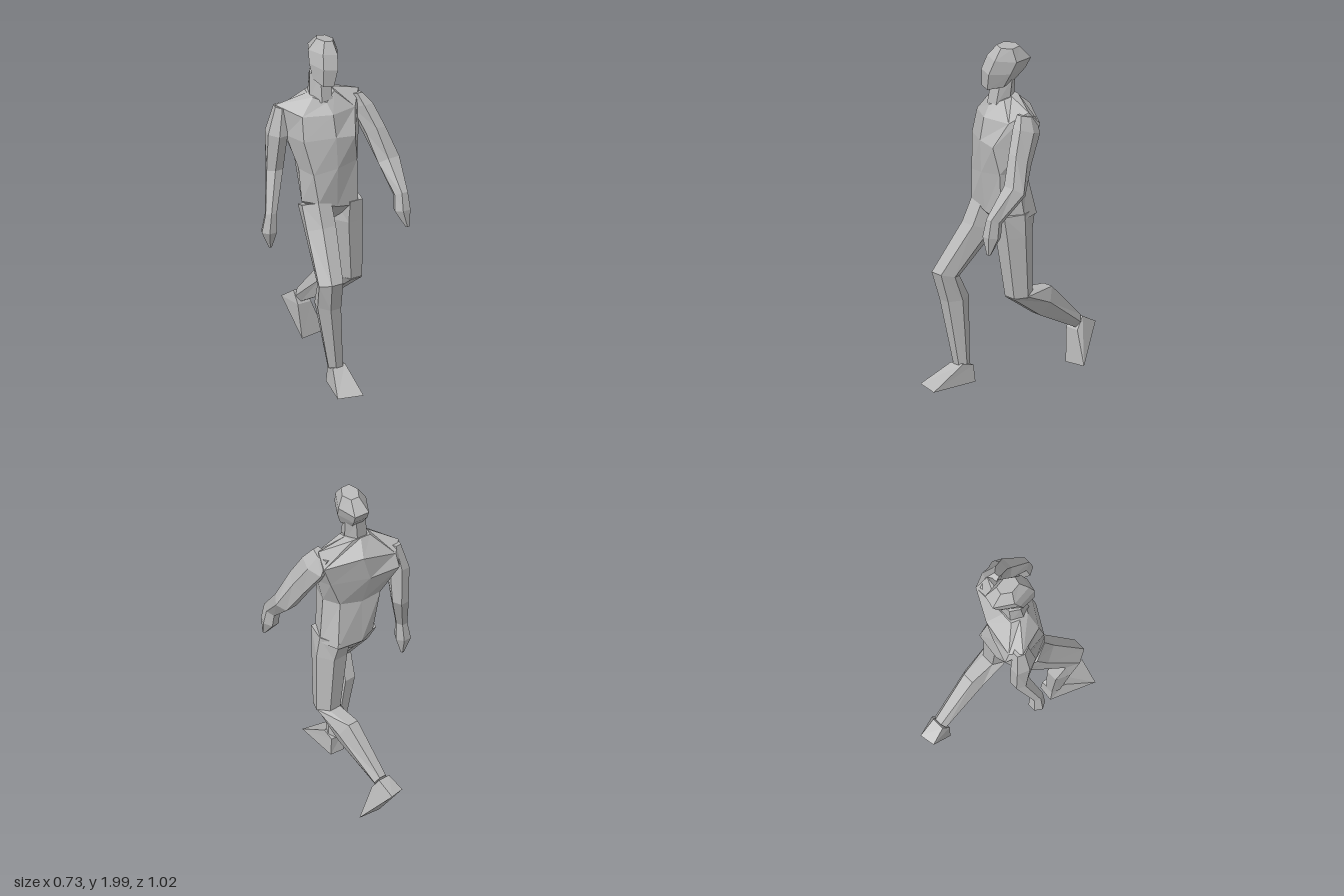
import * as THREE from 'three';

const skin = new THREE.MeshStandardMaterial({ color: 0xb8b8b8 });
skin.name = 'plain grey';

// Six-sided ring: centre, half width, half depth, tilt about x in degrees.
function ring([x, y, z, w, d, tilt = 0], flatFront = false) {
  const t = THREE.MathUtils.degToRad(tilt);
  const depth = flatFront ? d / Math.cos(Math.PI / 6) : d / 0.9;
  return Array.from({ length: 6 }, (_, i) => {
    const a = (i + 0.5) * Math.PI / 3;
    const s = Math.cos(a) * depth;
    return [x + Math.sin(a) * w, y + Math.sin(t) * s, z + Math.cos(t) * s];
  });
}

// Faceted skin over a stack of equal-length rings, capped at both ends.
function loft(name, rings) {
  const tris = [];
  const n = rings[0].length;
  const mid = r => [0, 1, 2].map(k => r.reduce((s, p) => s + p[k], 0) / n);
  for (let j = 0; j + 1 < rings.length; j++) {
    for (let i = 0; i < n; i++) {
      const k = (i + 1) % n, a = rings[j], b = rings[j + 1];
      tris.push([a[i], a[k], b[k]], [a[i], b[k], b[i]]);
    }
  }
  const first = rings[0], last = rings[rings.length - 1];
  for (let i = 0; i < n; i++) {
    const k = (i + 1) % n;
    tris.push([mid(first), first[k], first[i]], [mid(last), last[i], last[k]]);
  }
  // Turn the faces outward whichever way the stack runs.
  let volume = 0;
  const [a, b, c] = [0, 1, 2].map(() => new THREE.Vector3());
  for (const t of tris) {
    a.fromArray(t[0]); b.fromArray(t[1]); c.fromArray(t[2]);
    volume += a.dot(b.cross(c));
  }
  if (volume < 0) tris.forEach(t => t.reverse());
  const geo = new THREE.BufferGeometry();
  geo.setAttribute('position', new THREE.Float32BufferAttribute(tris.flat(2), 3));
  geo.computeVertexNormals();
  const mesh = new THREE.Mesh(geo, skin);
  mesh.name = name;
  return mesh;
}

const limb = (name, rows) => loft(name, rows.map(r => ring(r)));

export function createModel() {
  const figure = new THREE.Group();
  figure.name = 'walkingFigure';

  // Torso rings run from front centre through the left side, back and right side.
  figure.add(loft('torso', [
    [[0, 0.91, 0.08], [0.03, 0.92, 0.08], [0.04, 0.92, 0.04], [0.03, 0.91, 0],
      [0, 0.91, -0.01], [-0.03, 0.92, 0], [-0.04, 0.93, 0.04], [-0.03, 0.93, 0.08]],
    [[-0.02, 1.02, 0.17], [0.12, 1.0, 0.175], [0.19, 1.0, 0.06], [0.16, 1.0, -0.06],
      [0, 0.99, -0.08], [-0.11, 1.0, -0.05], [-0.18, 1.05, 0.05], [-0.14, 1.06, 0.16]],
    [[-0.03, 1.26, 0.19], [0.11, 1.28, 0.18], [0.15, 1.27, 0.08], [0.11, 1.27, -0.02],
      [-0.02, 1.25, -0.06], [-0.14, 1.27, -0.08], [-0.18, 1.24, 0.02], [-0.16, 1.23, 0.14]],
    [[-0.04, 1.45, 0.19], [0.08, 1.44, 0.205], [0.19, 1.42, 0.08], [0.18, 1.44, -0.02],
      [-0.02, 1.45, -0.13], [-0.185, 1.48, -0.19], [-0.22, 1.43, -0.05], [-0.2, 1.43, 0.1]],
    [[-0.04, 1.58, 0.16], [0.13, 1.58, 0.13], [0.21, 1.65, 0.05], [0.23, 1.57, -0.02],
      [0.03, 1.61, -0.13], [-0.185, 1.56, -0.16], [-0.25, 1.6, -0.11], [-0.19, 1.57, 0.07]],
    [[-0.05, 1.64, 0.11], [0.03, 1.68, 0.07], [0.04, 1.69, 0.02], [0.03, 1.69, -0.04],
      [-0.02, 1.69, -0.05], [-0.09, 1.68, -0.05], [-0.11, 1.68, 0], [-0.11, 1.67, 0.06]],
  ]));

  // Neck and head
  figure.add(limb('neck', [
    [-0.04, 1.65, 0.03, 0.072, 0.075, -8],
    [-0.03, 1.8, 0.015, 0.07, 0.058, 0],
  ]));
  const head = loft('head', [
    [0, 1.765, 0.06, 0.064, 0.088, -10],
    [0, 1.85, 0.032, 0.086, 0.118, 0],
    [0, 1.92, 0, 0.088, 0.118, 5],
    [0, 1.99, 0.01, 0.05, 0.06, 4],
  ].map(r => ring(r, true)));
  head.rotation.set(0, -0.25, -0.12);
  head.position.set(-0.224, 0.012, -0.055);
  figure.add(head);

  // Left arm swings forward, right arm hangs back
  figure.add(limb('leftArm', [
    [0.185, 1.625, 0.045, 0.035, 0.06, 15],
    [0.213, 1.55, 0.07, 0.06, 0.085, 20],
    [0.25, 1.41, 0.155, 0.06, 0.075, 35],
    [0.29, 1.25, 0.235, 0.074, 0.06, 35],
    [0.27, 1.1, 0.375, 0.04, 0.048, 25],
  ]));
  figure.add(limb('leftHand', [
    [0.27, 1.1, 0.375, 0.04, 0.048, 25],
    [0.268, 1.01, 0.392, 0.05, 0.05, 10],
    [0.28, 0.915, 0.425, 0.012, 0.012],
  ]));
  figure.add(limb('rightArm', [
    [-0.22, 1.59, -0.1, 0.035, 0.045],
    [-0.245, 1.43, -0.105, 0.055, 0.075],
    [-0.24, 1.2, -0.13, 0.053, 0.05, 10],
    [-0.31, 0.97, -0.065, 0.036, 0.034, 10],
  ]));
  figure.add(limb('rightHand', [
    [-0.31, 0.97, -0.065, 0.036, 0.034, 10],
    [-0.318, 0.86, -0.07, 0.05, 0.042],
    [-0.308, 0.76, -0.075, 0.01, 0.01],
  ]));

  // Right leg steps forward
  figure.add(limb('rightThigh', [
    [-0.1, 1.03, 0.06, 0.085, 0.11, 20],
    [-0.11, 0.9, 0.13, 0.09, 0.1, 20],
    [-0.178, 0.64, 0.325, 0.077, 0.077, 15],
  ]));
  figure.add(limb('rightShin', [
    [-0.178, 0.64, 0.325, 0.077, 0.077, 15],
    [-0.16, 0.49, 0.275, 0.07, 0.083],
    [-0.105, 0.1, 0.27, 0.045, 0.045, 10],
  ]));
  figure.add(loft('rightFoot', [
    [[-0.23, 0, 0.47], [-0.08, 0, 0.51], [-0.04, 0, 0.225], [-0.13, 0, 0.215]],
    [[-0.15, 0.11, 0.31], [-0.06, 0.12, 0.3], [-0.05, 0.1, 0.23], [-0.13, 0.1, 0.23]],
  ]));

  // Left leg trails with the knee bent
  figure.add(limb('leftThigh', [
    [0.105, 1.03, 0.06, 0.085, 0.125],
    [0.11, 0.9, 0.07, 0.097, 0.1],
    [0.14, 0.535, 0.06, 0.075, 0.075],
  ]));
  figure.add(limb('leftShin', [
    [0.14, 0.54, 0.06, 0.075, 0.075, -8],
    [0.14, 0.455, -0.12, 0.068, 0.092, -60],
    [0.132, 0.255, -0.385, 0.045, 0.04, -60],
  ]));
  figure.add(loft('leftFoot', [
    [[0.1, 0.005, -0.34], [0.25, 0.02, -0.34], [0.16, 0.22, -0.515], [0.07, 0.22, -0.5]],
    [[0.085, 0.21, -0.36], [0.175, 0.21, -0.36], [0.165, 0.28, -0.41], [0.09, 0.28, -0.41]],
  ]));

  return figure;
}
